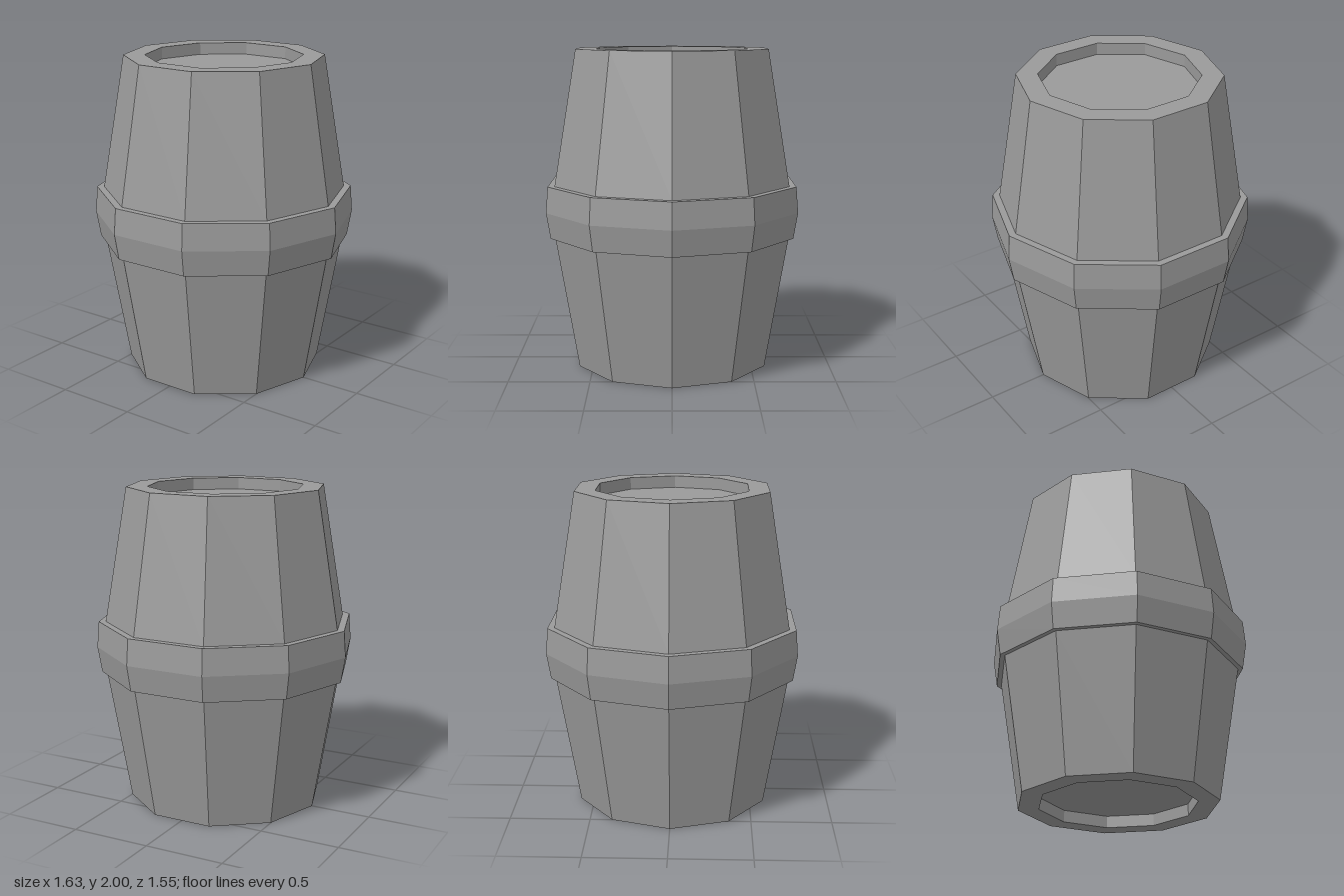
import * as THREE from 'three';

const SIDES = 10;
const material = new THREE.MeshStandardMaterial({ color: 0x9a9a9a, flatShading: true });

// Ten-sided turned part; profile is [radius, y] pairs, running bottom to top on the outside
function turned(name, profile) {
  const points = profile.map(([r, y]) => new THREE.Vector2(r, y));
  const mesh = new THREE.Mesh(new THREE.LatheGeometry(points, SIDES, Math.PI / 2), material);
  mesh.name = name;
  return mesh;
}

export function createModel() {
  const barrel = new THREE.Group();
  barrel.name = 'barrel';

  const rim = 0.617, lid = 0.486, waist = 0.76, depth = 0.075;
  const hoopBottom = 0.838, hoopTop = 1.163;

  barrel.add(
    // Recessed ends with their flat rims
    turned('bottomEnd', [[0, depth], [lid, depth], [lid, 0], [rim, 0]]),
    turned('topEnd', [[rim, 2], [lid, 2], [lid, 2 - depth], [0, 2 - depth]]),
    // Tapering staves below and above the hoop
    turned('lowerStaves', [[rim, 0], [waist, hoopBottom]]),
    turned('upperStaves', [[waist, hoopTop], [rim, 2]]),
    // Raised hoop around the middle, bulging at its centre
    turned('hoop', [[waist, hoopBottom], [0.79, hoopBottom], [0.817, 1], [0.804, hoopTop], [waist, hoopTop]]),
  );
  return barrel;
}
